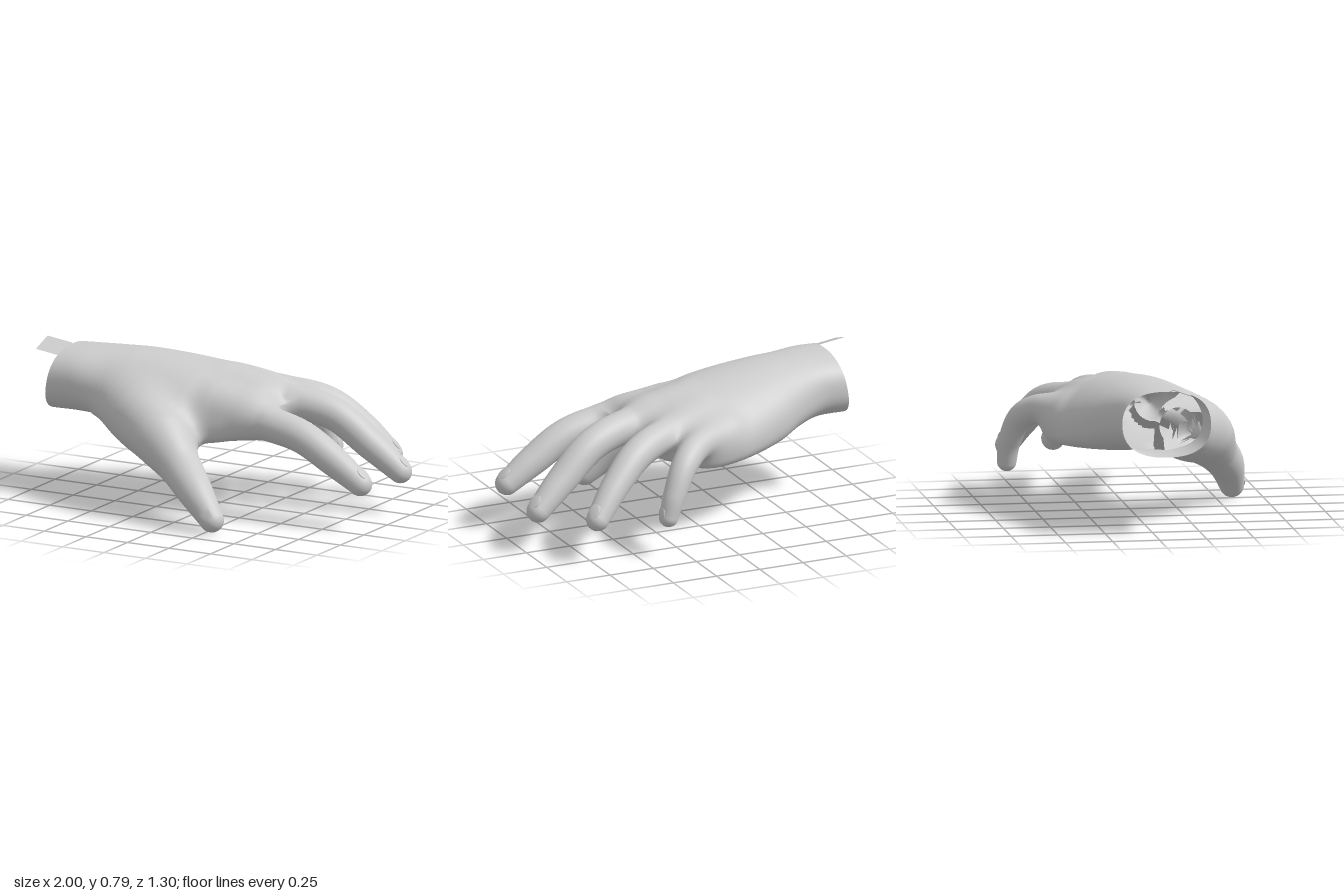
import * as THREE from 'three';

const skin = new THREE.MeshStandardMaterial({ color: 0xcccccc, side: THREE.DoubleSide });
skin.name = 'skin';

const V = (x, y, z) => new THREE.Vector3(x, y, z);
const clamp = THREE.MathUtils.clamp;

// Smooth curve through rows of numbers, looked up by key
function spline(keys, rows) {
  const curve = new THREE.CubicInterpolant(new Float32Array(keys), new Float32Array(rows.flat()), rows[0].length);
  return k => Array.from(curve.evaluate(clamp(k, keys[0], keys[keys.length - 1] - 1e-5)));
}

// Wrist and palm cross-sections: x, zMin, zMax, top, bottom, arch
const SECTIONS = [
  [-0.9, -0.18, 0.29, 0.77, 0.43, 0],
  [-0.75, -0.19, 0.285, 0.775, 0.43, 0],
  [-0.6, -0.255, 0.285, 0.777, 0.42, 0.03],
  [-0.45, -0.335, 0.32, 0.777, 0.4, 0.07],
  [-0.1, -0.45, 0.35, 0.745, 0.4, 0.12],
  [0.05, -0.45, 0.29, 0.72, 0.41, 0.12],
  [0.15, -0.4, 0.27, 0.7, 0.42, 0.1],
  [0.31, -0.21, 0.22, 0.645, 0.45, 0.04],
  [0.37, -0.08, 0.16, 0.58, 0.5, 0.01],
];
const START = -0.89, END = 0.37, POWER = 2.4;
const sectionAt = spline(SECTIONS.map(s => s[0]), SECTIONS.map(s => s.slice(1)));

function palmShape(x) {
  const [z0, z1, top, bottom, arch] = sectionAt(x);
  return { zc: (z0 + z1) / 2, a: (z1 - z0) / 2, yc: (top + bottom) / 2, b: (top - bottom) / 2, arch };
}

// A digit's centre line from inside the palm to the tip (x, y, z, radius), and the way its nail faces
const STEPS = 30;
function digit(name, nail, ...path) {
  const at = spline(path.map((_, i) => i), path);
  const samples = Array.from({ length: STEPS + 1 }, (_, i) => {
    const [x, y, z, r] = at(i / STEPS * (path.length - 1));
    return { p: V(x, y, z), r };
  });
  return { name, nail, samples };
}
const index = digit('indexFinger', V(0, 1, 0), [0.05, 0.56, 0.135, 0.1],
  [0.35, 0.515, 0.158, 0.093], [0.58, 0.465, 0.165, 0.087], [0.77, 0.355, 0.16, 0.08], [0.925, 0.25, 0.155, 0.063]);
const middle = digit('middleFinger', V(0, 1, 0), [0, 0.605, -0.055, 0.092],
  [0.33, 0.575, -0.105, 0.09], [0.58, 0.52, -0.168, 0.087], [0.78, 0.365, -0.215, 0.08], [0.935, 0.23, -0.255, 0.062]);
const ring = digit('ringFinger', V(0, 1, 0), [0, 0.575, -0.23, 0.088],
  [0.24, 0.56, -0.31, 0.087], [0.43, 0.51, -0.395, 0.084], [0.59, 0.385, -0.47, 0.075], [0.722, 0.24, -0.535, 0.061]);
const little = digit('littleFinger', V(0.5, 1, 0), [-0.1, 0.54, -0.35, 0.082],
  [0.1, 0.535, -0.455, 0.076], [0.22, 0.47, -0.54, 0.07], [0.3, 0.335, -0.587, 0.06], [0.34, 0.215, -0.597, 0.051]);
const thumb = digit('thumb', V(0.1, 0.4, 1), [-0.55, 0.53, 0.17, 0.1], [-0.35, 0.49, 0.25, 0.172],
  [-0.15, 0.415, 0.37, 0.157], [0, 0.31, 0.455, 0.115], [0.14, 0.205, 0.537, 0.095], [0.275, 0.07, 0.588, 0.065]);
const DIGITS = [index, middle, ring, little, thumb];

// Distance to the palm and to a digit (negative inside)
function palmDistance(p) {
  const s = palmShape(p.x);
  const u = (p.z - s.zc) / s.a;
  const v = (p.y - s.yc + s.arch * Math.min(u * u, 1.2)) / s.b;
  const U = Math.abs(u) + 1e-4, W = Math.abs(v) + 1e-4;
  const k = (U ** POWER + W ** POWER) ** (1 / POWER);
  const slope = Math.hypot(U ** (POWER - 1) / s.a, W ** (POWER - 1) / s.b) * k ** (1 - POWER);
  const d = (k - 1) / slope;
  return p.x > END ? Math.hypot(Math.max(d, 0), p.x - END) : d;
}

function digitDistance(p, samples) {
  let best = Infinity;
  for (let i = 0; i < STEPS; i++) {
    const A = samples[i], B = samples[i + 1];
    const ex = B.p.x - A.p.x, ey = B.p.y - A.p.y, ez = B.p.z - A.p.z;
    const px = p.x - A.p.x, py = p.y - A.p.y, pz = p.z - A.p.z;
    const t = clamp((px * ex + py * ey + pz * ez) / (ex * ex + ey * ey + ez * ez), 0, 1);
    best = Math.min(best, Math.hypot(px - t * ex, py - t * ey, pz - t * ez) - A.r - (B.r - A.r) * t);
  }
  return best;
}

// Soft union of all parts, which makes the webs and knuckles
const BLEND = 0.085;
function handDistance(p) {
  let d = palmDistance(p);
  for (const { samples } of DIGITS) {
    const e = digitDistance(p, samples);
    const h = Math.max(BLEND - Math.abs(d - e), 0);
    d = Math.min(d, e) - h * h / (4 * BLEND);
  }
  return d;
}

function gradient(p) {
  const e = 0.003, g = V(0, 0, 0), q = p.clone();
  for (const axis of ['x', 'y', 'z']) {
    q[axis] = p[axis] + e;
    const high = handDistance(q);
    q[axis] = p[axis] - e;
    g[axis] = (high - handDistance(q)) / (2 * e);
    q[axis] = p[axis];
  }
  return g;
}

// Loft rings into a mesh and settle its outer vertices on the blended skin
function loft(name, rings) {
  const n = rings[0].length, positions = [], normals = [], faces = [];
  rings.forEach((points, i) => points.forEach((p, j) => {
    if (p.x > -0.65 && handDistance(p) > -0.055) {
      for (let k = 0; k < 5; k++) {
        const g = gradient(p);
        p.addScaledVector(g, -clamp(handDistance(p) / Math.max(g.lengthSq(), 0.2), -0.03, 0.03));
      }
    }
    positions.push(p.x, p.y, p.z);
    normals.push(...gradient(p).normalize().toArray());
    if (i === rings.length - 1) return;
    const a = i * n + j, b = i * n + (j + 1) % n;
    faces.push(a, b, a + n, b, b + n, a + n);
  }));
  const geo = new THREE.BufferGeometry();
  geo.setAttribute('position', new THREE.Float32BufferAttribute(positions, 3));
  geo.setAttribute('normal', new THREE.Float32BufferAttribute(normals, 3));
  geo.setIndex(faces);
  const mesh = new THREE.Mesh(geo, skin);
  mesh.name = name;
  return mesh;
}

// Wrist and palm, open at the slanted wrist cut and closed between the fingers
function makePalm() {
  const count = 66, cap = 6, sides = 72, rings = [];
  const bend = c => Math.sign(c) * Math.abs(c) ** (2 / POWER);
  for (let i = 0; i <= count + cap; i++) {
    const x = START + (END - START) * Math.min(i / count, 1), s = palmShape(x);
    const size = Math.min(1, 1.01 - (i - count) / cap);
    rings.push(Array.from({ length: sides }, (_, j) => {
      const a = j / sides * Math.PI * 2, u = bend(Math.sin(a)) * size;
      const y = s.yc + s.b * bend(Math.cos(a)) * size - s.arch * u * u;
      return V(x + (y - 0.6) * 0.18 * Math.max(0, (-0.7 - x) / 0.2), y, s.zc + s.a * u);
    }));
  }
  return loft('palmAndWrist', rings);
}

// A digit with a rounded tip and a thin nail
function makeDigit({ name, samples, nail }) {
  const group = new THREE.Group(), sides = 30, rings = [];
  group.name = name;
  const frame = i => {
    const t = samples[Math.min(i + 1, STEPS)].p.clone().sub(samples[Math.max(i - 1, 0)].p).normalize();
    const n = nail.clone().addScaledVector(t, -nail.dot(t)).normalize();
    return { t, n, b: t.clone().cross(n) };
  };
  const addRing = (c, r, f) => rings.push(Array.from({ length: sides }, (_, j) => {
    const a = j / sides * Math.PI * 2;
    return c.clone().addScaledVector(f.n, r * Math.cos(a)).addScaledVector(f.b, r * Math.sin(a));
  }));
  samples.forEach((s, i) => addRing(s.p, s.r, frame(i)));
  const tip = samples[STEPS], f = frame(STEPS);
  for (let k = 1; k <= 7; k++) {
    const a = k / 7 * Math.PI / 2;
    addRing(tip.p.clone().addScaledVector(f.t, tip.r * Math.sin(a)), tip.r * Math.cos(a) + 1e-4, f);
  }
  group.add(loft(name + 'Skin', rings));

  const plate = new THREE.Mesh(new THREE.SphereGeometry(1, 20, 12), skin);
  plate.name = name + 'Nail';
  plate.scale.set(tip.r * 0.58, 0.009, tip.r * 0.75);
  plate.quaternion.setFromRotationMatrix(new THREE.Matrix4().makeBasis(f.b.clone().negate(), f.n, f.t));
  plate.rotateX(0.12);
  plate.position.copy(tip.p).addScaledVector(f.t, -tip.r * 0.3).addScaledVector(f.n, tip.r - 0.005);
  group.add(plate);
  return group;
}

// Flat strip trailing from the top of the wrist
function makeWristTab() {
  const geo = new THREE.PlaneGeometry(1, 1);
  const p = geo.attributes.position;
  for (let i = 0; i < p.count; i++) {
    const u = p.getX(i) + 0.5, v = 0.5 - p.getY(i);
    p.setXYZ(i, -1 + 0.15 * u, 0.8 - 0.045 * v - 0.02 * u, 0.08 + 0.125 * v);
  }
  geo.computeVertexNormals();
  const mesh = new THREE.Mesh(geo, skin);
  mesh.name = 'wristTab';
  return mesh;
}

export function createModel() {
  const hand = new THREE.Group();
  hand.name = 'hand';
  hand.add(makePalm(), ...DIGITS.map(makeDigit), makeWristTab());
  return hand;
}
